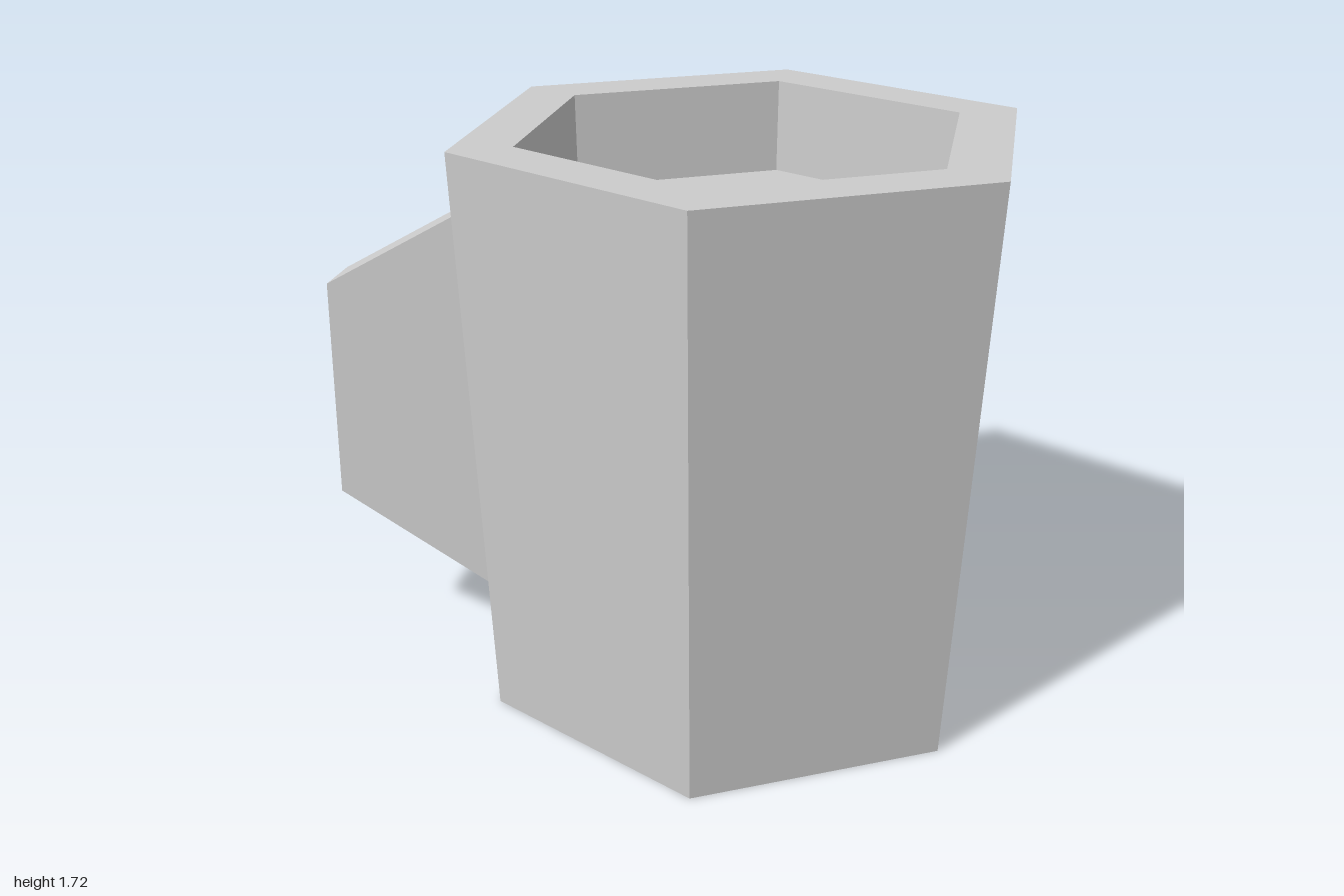
import * as THREE from 'three';

export function createModel() {
  const group = new THREE.Group();
  const material = new THREE.MeshStandardMaterial({ color: 0xcccccc, flatShading: true });
  const add = (name, geometry) => {
    const flat = geometry.index ? geometry.toNonIndexed() : geometry;
    flat.computeVertexNormals();
    const mesh = new THREE.Mesh(flat, material);
    mesh.name = name;
    group.add(mesh);
    return mesh;
  };

  // Six-sided tapered cup: base, outer wall, rim, inner wall and drink surface
  const profile = [
    [0, 0], [0.765, 0], [0.86, 1.72], [0.671, 1.72], [0.661, 1.435], [0, 1.435],
  ].map(([r, y]) => new THREE.Vector2(r, y));
  add('cup', new THREE.LatheGeometry(profile, 6)).position.x = 0.255;

  // Solid trapezoid handle, its inner edge following the slope of the wall
  const outline = new THREE.Shape([
    [-0.417, 0.18], [-0.483, 1.502], [-1, 1.205], [-1, 0.517],
  ].map(([x, y]) => new THREE.Vector2(x, y)));
  const thickness = 0.168;
  add('handle', new THREE.ExtrudeGeometry(outline, { depth: thickness, bevelEnabled: false }))
    .position.z = -thickness / 2;

  return group;
}
